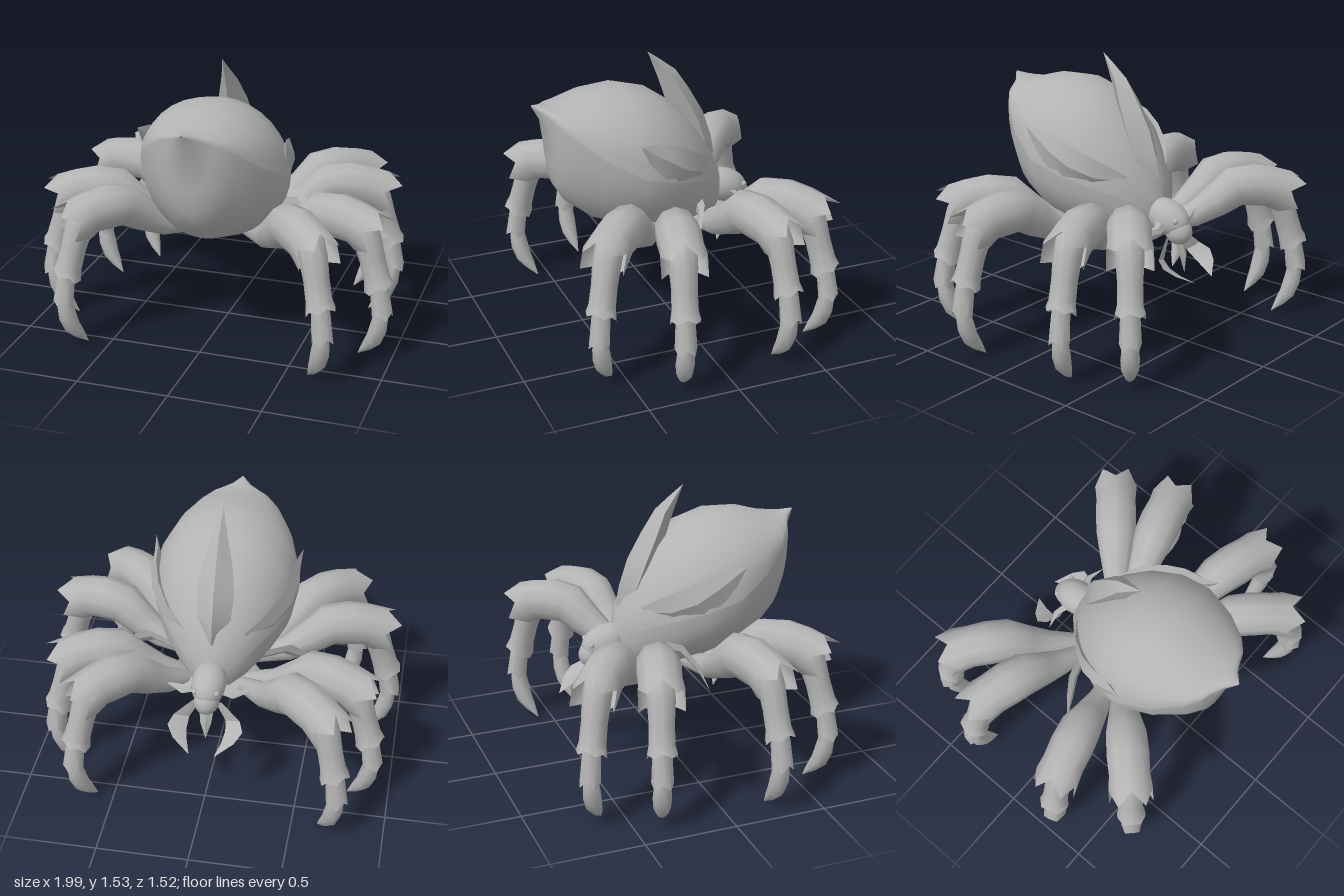
import * as THREE from 'three';
import { toCreasedNormals } from 'three/addons/utils/BufferGeometryUtils.js';

const grey = new THREE.MeshStandardMaterial({ color: 0xb4b4b4, side: THREE.DoubleSide });
grey.name = 'chitinGrey';

// Skin a list of rings (each a list of [x, y, z]) into a mesh
function loft(name, rings, closed = true, crease = 1) {
  const n = rings[0].length, index = [];
  const span = closed ? n : n - 1;
  for (let i = 0; i < rings.length - 1; i++) {
    for (let j = 0; j < span; j++) {
      const a = i * n + j, b = i * n + (j + 1) % n;
      index.push(a, b, a + n, b, b + n, a + n);
    }
  }
  const geo = new THREE.BufferGeometry();
  geo.setAttribute('position', new THREE.Float32BufferAttribute(rings.flat(2), 3));
  geo.setIndex(index);
  const mesh = new THREE.Mesh(toCreasedNormals(geo, crease), grey);
  mesh.name = name;
  return mesh;
}

// Limb segment in the local x-y plane; section = [x, y, radius, jag]
function limb(name, sections, sides = 10) {
  const rings = sections.map(([x, y, r, jag = 0], i) => {
    const p = sections[Math.max(i - 1, 0)], q = sections[Math.min(i + 1, sections.length - 1)];
    const len = Math.hypot(q[0] - p[0], q[1] - p[1]);
    const tx = (q[0] - p[0]) / len, ty = (q[1] - p[1]) / len;
    return Array.from({ length: sides }, (_, j) => {
      const a = (j / sides) * Math.PI * 2;
      const u = Math.cos(a) * r, w = Math.sin(a) * r;
      const s = jag * (j % 2 ? 1 : -0.4);
      return [x - ty * u + tx * s, y + tx * u + ty * s, w];
    });
  });
  return loft(name, rings);
}

// Flat-sided blade; path point = [x, y, z, halfWidth], wide and thin are directions
function blade(name, path, wide, thin) {
  const rings = path.map(([x, y, z, w]) => [[wide, 1], [thin, 0.25], [wide, -1], [thin, -0.25]]
    .map(([d, k]) => [x + d[0] * w * k, y + d[1] * w * k, z + d[2] * w * k]));
  return loft(name, rings, true, 0.5);
}

function ellipsoid(name, pos, size, tilt = 0) {
  const mesh = new THREE.Mesh(new THREE.SphereGeometry(1, 20, 14), grey);
  mesh.name = name;
  mesh.position.set(...pos);
  mesh.scale.set(...size);
  mesh.rotation.x = tilt;
  return mesh;
}

// One leg running outwards along local +x, with the knee at x = 0
function makeLeg(L) {
  const leg = new THREE.Group();
  leg.add(limb('thigh', [
    [-L, 0.56, 0.03], [-0.56, 0.615, 0.07], [-0.43, 0.69, 0.095], [-0.33, 0.765, 0.115],
    [-0.22, 0.77, 0.12], [-0.12, 0.755, 0.115], [-0.03, 0.715, 0.125, 0.06]]));
  leg.add(limb('shin', [
    [-0.14, 0.80, 0.03], [-0.10, 0.76, 0.075], [-0.06, 0.68, 0.075], [-0.025, 0.57, 0.068],
    [0.005, 0.47, 0.07], [0.02, 0.42, 0.082, 0.015], [0.015, 0.45, 0.04]]));
  leg.add(limb('ankle', [
    [0.015, 0.47, 0.045], [0.025, 0.40, 0.052], [0.045, 0.27, 0.058, 0.025], [0.04, 0.31, 0.03]], 8));
  leg.add(limb('claw', [
    [0.035, 0.32, 0.035], [0.035, 0.24, 0.045], [0.025, 0.18, 0.05], [0.0, 0.11, 0.045],
    [-0.04, 0.06, 0.03], [-0.09, 0.003, 0.002]], 8));
  return leg;
}

export function createModel() {
  const model = new THREE.Group();
  model.name = 'spider';

  // Abdomen: [z, top, side ridge, bottom, half width]
  const sections = [
    [0.75, 1.322, 1.316, 1.31, 0.005], [0.70, 1.315, 1.285, 1.22, 0.06], [0.665, 1.308, 1.26, 0.98, 0.13],
    [0.65, 1.308, 1.24, 0.86, 0.17], [0.59, 1.315, 1.19, 0.76, 0.24], [0.45, 1.36, 1.08, 0.65, 0.335],
    [0.27, 1.372, 0.98, 0.59, 0.40], [0.10, 1.325, 0.93, 0.555, 0.385], [-0.05, 1.22, 0.88, 0.54, 0.32],
    [-0.17, 1.06, 0.83, 0.54, 0.23], [-0.27, 0.90, 0.76, 0.57, 0.13], [-0.31, 0.76, 0.70, 0.64, 0.03]];
  const half = (upper) => sections.map(([z, top, mid, bot, w]) =>
    Array.from({ length: 17 }, (_, j) => {
      const a = (j / 16) * Math.PI;
      const h = upper ? top - mid : bot - mid;
      return [Math.cos(a) * w, mid + Math.sin(a) * h, z];
    }));
  model.add(loft('abdomenUpper', half(true), false));
  model.add(loft('abdomenLower', half(false), false));

  // Low belly plate where the legs meet
  model.add(ellipsoid('bellyPlate', [0, 0.57, -0.11], [0.25, 0.06, 0.18]));

  // Curved back fin: [rear z, rear y, front z, front y, half width]
  const fin = [
    [0.10, 1.53, 0.101, 1.529, 0.001], [0.03, 1.48, 0.07, 1.45, 0.02], [-0.06, 1.41, 0.04, 1.37, 0.045],
    [-0.14, 1.29, 0.0, 1.25, 0.08], [-0.22, 1.15, -0.05, 1.12, 0.1], [-0.27, 1.0, -0.09, 1.02, 0.09],
    [-0.29, 0.89, -0.12, 0.9, 0.04]];
  model.add(loft('backFin', fin.map(([z0, y0, z1, y1, w]) => {
    const y = y0 * 0.6 + y1 * 0.4, z = z0 * 0.6 + z1 * 0.4;
    return [[0, y0, z0], [w, y, z], [0, y1, z1], [-w, y, z]];
  }), true, 0.6));

  // Head tapering into a snout
  model.add(ellipsoid('head', [0, 0.69, -0.35], [0.095, 0.095, 0.14], -0.3));
  model.add(ellipsoid('snout', [0, 0.63, -0.425], [0.07, 0.075, 0.08], -0.5));
  model.add(blade('centreFang', [[0, 0.58, -0.43, 0.04], [0, 0.5, -0.46, 0.03], [0, 0.40, -0.47, 0.001]],
    [1, 0, 0], [0, 0, 2]));

  for (const s of [1, -1]) {
    const side = s > 0 ? 'left' : 'right';
    // Leaf-shaped plate running from the shoulder into a flank spike
    model.add(blade(side + 'FlankSpike', [
      [s * 0.17, 0.90, -0.19, 0.03], [s * 0.28, 0.93, -0.08, 0.09], [s * 0.355, 0.99, 0.04, 0.1],
      [s * 0.385, 1.06, 0.14, 0.085], [s * 0.39, 1.11, 0.22, 0.055], [s * 0.41, 1.168, 0.295, 0.003]],
    [s * -0.15, 0.85, -0.5], [s * 1.2, 0, -0.4]));
    // Hanging spike between the middle legs
    model.add(blade(side + 'HangingSpike', [
      [s * 0.26, 0.72, -0.09, 0.05], [s * 0.38, 0.74, -0.05, 0.05],
      [s * 0.47, 0.67, 0.0, 0.035], [s * 0.54, 0.56, 0.04, 0.002]],
    [s * 0.45, 0.8, -0.2], [0, 0.4, 1]));
    // Cheek horn
    model.add(blade(side + 'CheekHorn', [
      [s * 0.06, 0.68, -0.36, 0.04], [s * 0.14, 0.66, -0.39, 0.025], [s * 0.23, 0.67, -0.36, 0.002]],
    [0, 0.6, 0.8], [0, 1.6, -1.2]));
    // Broad pincer below the snout
    model.add(blade(side + 'Pincer', [
      [s * 0.06, 0.60, -0.40, 0.02], [s * 0.14, 0.50, -0.42, 0.045], [s * 0.155, 0.465, -0.47, 0.055],
      [s * 0.13, 0.43, -0.53, 0.04], [s * 0.07, 0.39, -0.60, 0.002]],
    [s * 0.9, 0.3, -0.3], [0, 0.6, 0.3]));
    // Eyes
    model.add(ellipsoid(side + 'Eye', [s * 0.06, 0.70, -0.45], [0.015, 0.015, 0.015]));

    // Legs: [hip x, hip z, knee x, knee z, extra reach on the right side]
    [[0.12, 0.06, 0.685, 0.625, 0], [0.1, 0.05, 0.90, 0.265, 0],
      [0.12, -0.12, 0.83, -0.335, 0.03], [0.1, -0.15, 0.66, -0.635, 0.05]].forEach(([hx, hz, kx, kz, extra], i) => {
      const reach = s < 0 ? extra : 0;
      const dx = kx + reach - hx, dz = kz - reach * 0.7 - hz;
      const leg = makeLeg(Math.hypot(dx, dz));
      leg.name = side + 'Leg' + (i + 1);
      leg.position.set(s * (hx + dx), 0, hz + dz);
      leg.rotation.y = Math.atan2(-dz, s * dx);
      model.add(leg);
    });
  }
  return model;
}
